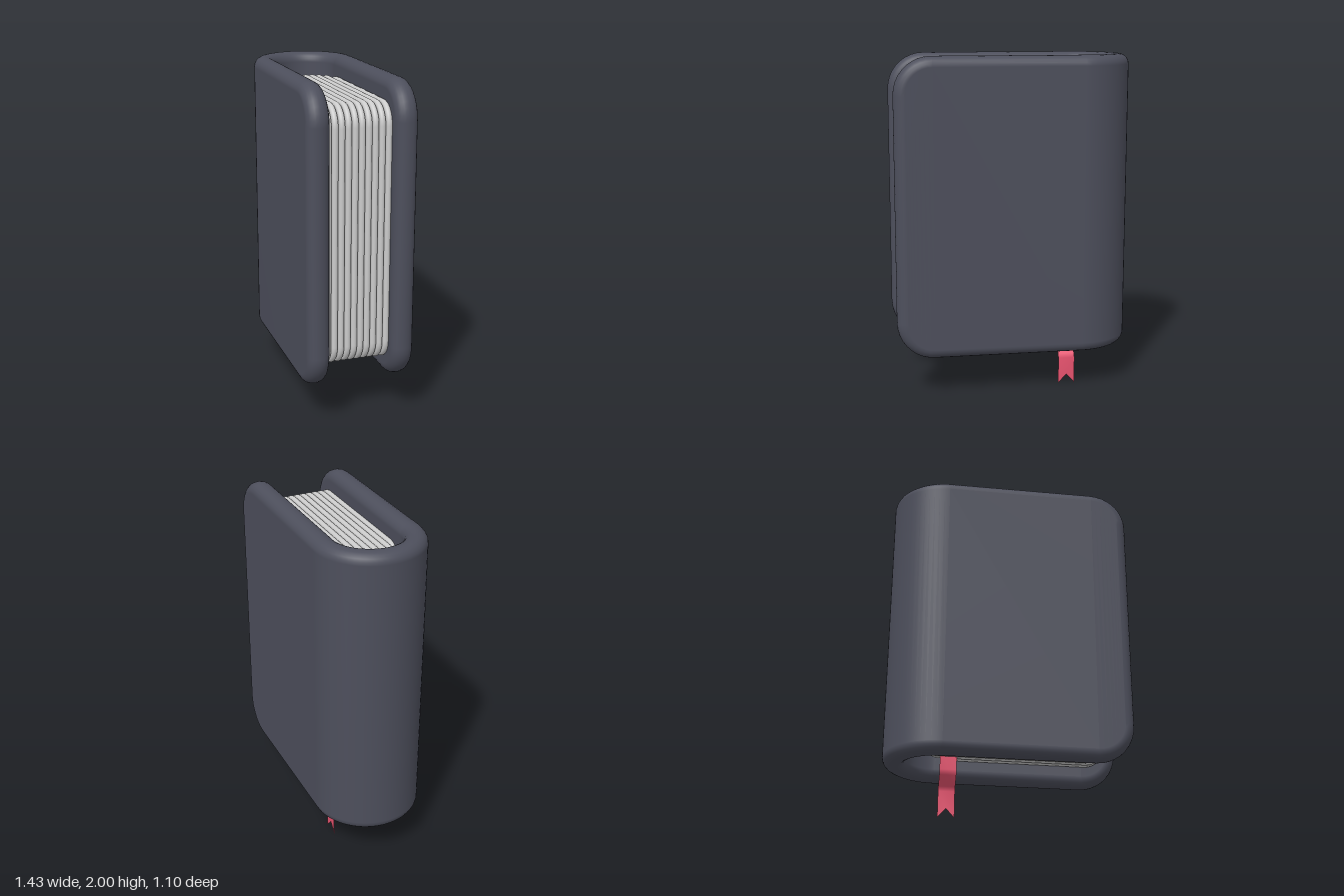
import * as THREE from 'three';

const BOTTOM = 0.23, TOP = 2;
const HINGE = -0.467;   // where the spine curve begins, along the book's width
const MID = -0.032;     // middle of the book's depth
const FORE = 0.64;      // fore edge of the cover

// Rounded slab with soft edges, carried along a path.
// place(s, w) maps length and depth to [x, z]; stations are extra lengths to cut at.
function slab({ length, low, high, depth, corner, edge, stations = [], place, edgeSteps = 5 }) {
  const cornerSteps = 9;
  const middle = (low + high) / 2, half = (high - low) / 2;

  // Depth levels: w across the thickness, inset from the outline
  const levels = [];
  for (let i = 0; i <= edgeSteps; i++) {
    const a = (i / edgeSteps) * Math.PI / 2;
    levels.push({ w: -(depth / 2 - edge) - edge * Math.cos(a), inset: edge * (1 - Math.sin(a)) });
  }
  for (let i = edgeSteps; i >= 0; i--) levels.push({ w: -levels[i].w, inset: levels[i].inset });

  // Each row gives the length position and half height for an inset
  const rows = [];
  const cornerRow = (a, atEnd) => (inset) => {
    const e = inset + (corner - inset) * (1 - Math.cos(a));
    return [atEnd ? length - e : e, half - corner + (corner - inset) * Math.sin(a)];
  };
  for (let i = 0; i <= cornerSteps; i++) rows.push(cornerRow((i / cornerSteps) * Math.PI / 2, false));
  for (const s of stations) rows.push((inset) => [s, half - inset]);
  for (let i = cornerSteps; i >= 0; i--) rows.push(cornerRow((i / cornerSteps) * Math.PI / 2, true));

  const n = levels.length, ring = 2 * n;
  const positions = [], index = [];
  const quad = (a, b, c, d) => index.push(a, b, c, a, c, d);
  for (const row of rows) {
    for (let k = 0; k < ring; k++) {
      const { w, inset } = levels[k < n ? k : ring - 1 - k];
      const [s, h] = row(inset);
      const [x, z] = place(s, w);
      positions.push(x, middle + (k < n ? h : -h), z);
    }
  }
  for (let j = 0; j < rows.length - 1; j++) {
    for (let k = 0; k < ring; k++) {
      const k2 = (k + 1) % ring, a = j * ring, b = a + ring;
      quad(a + k, a + k2, b + k2, b + k);
    }
  }
  // Close both ends
  const last = (rows.length - 1) * ring;
  for (let k = 0; k < n - 1; k++) {
    const low0 = ring - 1 - k, low1 = ring - 2 - k;
    quad(k, low0, low1, k + 1);
    quad(last + k, last + k + 1, last + low1, last + low0);
  }

  const geometry = new THREE.BufferGeometry();
  geometry.setAttribute('position', new THREE.Float32BufferAttribute(positions, 3));
  geometry.setIndex(index);
  geometry.computeVertexNormals();
  return geometry;
}

// Cover: one padded panel bent around a half-round spine
function createCover() {
  const radius = 0.2535, straight = FORE - HINGE, arc = Math.PI * radius;
  const stations = [];
  for (let i = 0; i <= 32; i++) stations.push(straight + (i / 32) * arc);
  const place = (s, w) => {
    const a = THREE.MathUtils.clamp((s - straight) / radius, 0, Math.PI);
    const run = Math.max(0, straight - s) + Math.max(0, s - straight - arc);
    return [HINGE + run - (radius - w) * Math.sin(a), MID + (radius - w) * Math.cos(a)];
  };
  const geometry = slab({
    length: 2 * straight + arc, low: BOTTOM, high: TOP,
    depth: 0.133, corner: 0.22, edge: 0.06, stations, place,
  });
  const cover = new THREE.Mesh(geometry, new THREE.MeshStandardMaterial({ color: 0x4d4f5c }));
  cover.name = 'cover';
  return cover;
}

// Pages: thick rounded leaves whose inner ends follow the spine curve
function createPages() {
  const pages = new THREE.Group();
  pages.name = 'pages';
  const material = new THREE.MeshStandardMaterial({ color: 0xcccccc });
  const count = 10;
  for (let i = 0; i < count; i++) {
    const z = -0.205 + (i / (count - 1)) * 0.352;
    const t = (z - MID) / 0.182;
    const start = -0.455 - 0.175 * Math.sqrt(Math.max(0, 1 - t * t));
    const geometry = slab({
      length: 0.56 - start, low: 0.345, high: 1.88,
      depth: 0.035, corner: 0.13, edge: 0.016, edgeSteps: 4,
      place: (s, w) => [start + s, z + w],
    });
    const page = new THREE.Mesh(geometry, material);
    page.name = `page${i + 1}`;
    pages.add(page);
  }
  return pages;
}

// Ribbon bookmark: hangs from between the pages and ends in a swallowtail
function createRibbon() {
  const center = -0.395, half = 0.05, notch = 0.055;
  const path = [[0.45, -0.147], [0.27, -0.147], [0.24, -0.158], [0.185, -0.21], [0.16, -0.223], [0, -0.223]];
  const positions = [], index = [];
  path.forEach(([y, z], j) => {
    for (let c = -1; c <= 1; c++) {
      const cut = c === 0 && j === path.length - 1 ? notch : 0;
      positions.push(center + c * half, y + cut, z);
    }
    if (j === 0) return;
    for (let c = 0; c < 2; c++) {
      const a = (j - 1) * 3 + c, b = a + 3;
      index.push(a, b, b + 1, a, b + 1, a + 1);
    }
  });
  const geometry = new THREE.BufferGeometry();
  geometry.setAttribute('position', new THREE.Float32BufferAttribute(positions, 3));
  geometry.setIndex(index);
  geometry.computeVertexNormals();
  const material = new THREE.MeshStandardMaterial({ color: 0xe8536f, side: THREE.DoubleSide });
  const ribbon = new THREE.Mesh(geometry, material);
  ribbon.name = 'ribbonBookmark';
  return ribbon;
}

export function createModel() {
  const book = new THREE.Group();
  book.name = 'book';
  book.add(createCover(), createPages(), createRibbon());
  book.rotation.y = THREE.MathUtils.degToRad(-28);

  const model = new THREE.Group();
  model.name = 'closedBook';
  model.add(book);
  return model;
}
